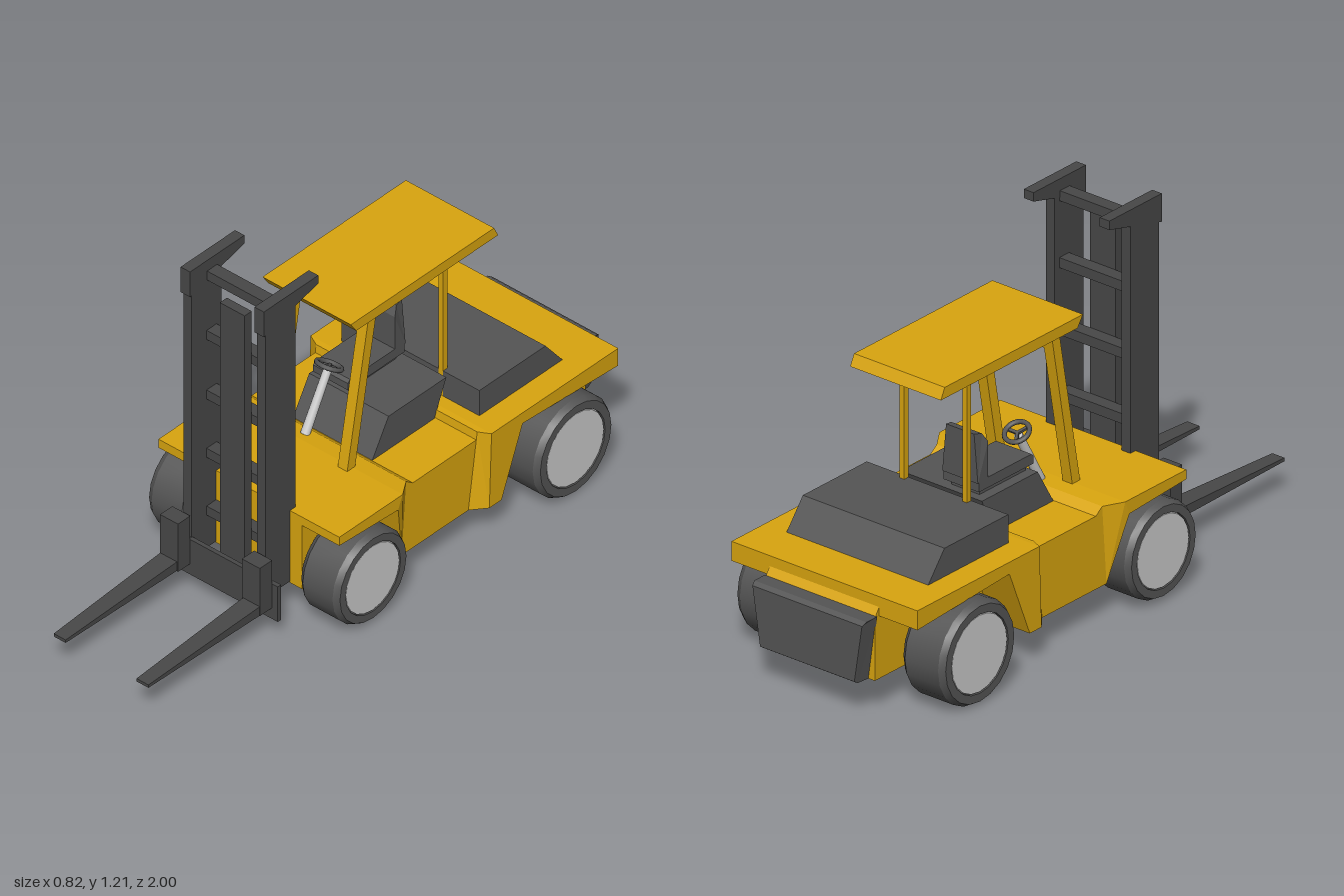
import * as THREE from 'three';
import { toCreasedNormals } from 'three/addons/utils/BufferGeometryUtils.js';

const mat = (color) => new THREE.MeshStandardMaterial({ color });
const yellow = mat(0xd9a50f), dark = mat(0x555555), mastGrey = mat(0x484848), light = mat(0xcccccc);

export function createModel() {
  const model = new THREE.Group();

  const add = (name, geometry, material) => {
    const mesh = new THREE.Mesh(geometry, material);
    mesh.name = name;
    model.add(mesh);
    return mesh;
  };

  // Box given by its extents on each axis
  const box = (name, material, [x0, x1], [y0, y1], [z0, z1]) => {
    const mesh = add(name, new THREE.BoxGeometry(x1 - x0, y1 - y0, z1 - z0), material);
    mesh.position.set((x0 + x1) / 2, (y0 + y1) / 2, (z0 + z1) / 2);
    return mesh;
  };

  // Side profile of [z, y, halfWidth] points spread across x; halfWidth may vary per point
  const slab = (name, material, profile, half, cx = 0) => {
    const shape = new THREE.Shape(profile.map(([z, y]) => new THREE.Vector2(-z, y)));
    const g = new THREE.ExtrudeGeometry(shape, { depth: 1, bevelEnabled: false });
    const p = g.attributes.position;
    for (let i = 0; i < p.count; i++) {
      const z = -p.getX(i), y = p.getY(i), side = p.getZ(i) > 0.5 ? 1 : -1;
      const point = profile.find((q) => Math.hypot(q[0] - z, q[1] - y) < 1e-4);
      p.setXYZ(i, cx + side * (point[2] ?? half), y, z);
    }
    g.computeVertexNormals();
    return add(name, g, material);
  };

  // Chassis core between the wheels
  slab('chassisCore', yellow, [[0.335, 0.12], [0.335, 0.385], [0, 0.38], [-0.04, 0.36], [-0.33, 0.36],
    [-0.36, 0.39], [-0.9, 0.39], [-0.94, 0.33], [-0.94, 0.12]], 0.215);

  // Front fenders, flare, cab floor, rear flare and rear deck
  slab('frontFenders', yellow, [[0.335, 0.36], [0.335, 0.392], [0.05, 0.392], [0.07, 0.345]], 0.365);
  slab('frontFlare', yellow, [[0.07, 0.345, 0.365], [0.05, 0.392, 0.365], [-0.01, 0.387, 0.325], [0.01, 0.12, 0.325]]);
  slab('cabFloor', yellow, [[0.01, 0.12], [-0.01, 0.387], [-0.04, 0.365], [-0.326, 0.365], [-0.29, 0.12]], 0.325);
  slab('rearFlare', yellow, [[-0.29, 0.12, 0.325], [-0.33, 0.393, 0.325], [-0.35, 0.395, 0.365], [-0.34, 0.12, 0.365]]);
  slab('rearDeck', yellow, [[-0.34, 0.12], [-0.35, 0.395], [-0.92, 0.395], [-0.92, 0.33], [-0.49, 0.355], [-0.395, 0.12]], 0.365);

  // Engine hood and rear counterweight
  slab('engineHood', dark, [[-0.392, 0.39], [-0.392, 0.49], [-0.69, 0.49], [-0.77, 0.39]], 0.278);
  slab('counterweight', dark, [[-0.935, 0.12, 0.19], [-0.935, 0.335, 0.22], [-0.985, 0.335, 0.22],
    [-1, 0.325, 0.215], [-1, 0.13, 0.185], [-0.985, 0.12, 0.185]]);

  // Wheels: lathed tyre, flat hub discs and axles
  const wheel = (name, x, z, radius, width, side) => {
    const group = new THREE.Group();
    group.name = name;
    const h = width / 2, rim = radius * 0.77;
    const profile = [[0, -h], [radius * 0.9, -h], [radius, -h + 0.02], [radius, h - 0.02], [radius * 0.93, h],
      [rim, h], [rim, h - 0.012], [0, h - 0.012]].map(([r, y]) => new THREE.Vector2(r, y));
    const tyre = new THREE.Mesh(toCreasedNormals(new THREE.LatheGeometry(profile, 20), 0.5), dark);
    tyre.name = 'tyre';
    const hub = new THREE.Mesh(new THREE.CylinderGeometry(rim * 0.97, rim, 0.012, 20), light);
    hub.name = 'hub';
    hub.position.y = h - 0.008;
    group.add(tyre, hub);
    group.rotation.z = -side * Math.PI / 2;
    group.position.set(side * x, 0.174, z);
    model.add(group);
  };
  for (const side of [1, -1]) {
    wheel('frontWheel', 0.305, 0.205, 0.161, 0.16, side);
    wheel('rearWheel', 0.324, -0.68, 0.172, 0.17, side);
  }
  for (const z of [0.205, -0.68]) {
    const axle = add('axle', new THREE.CylinderGeometry(0.04, 0.04, 0.54, 12), dark);
    axle.rotation.z = Math.PI / 2;
    axle.position.set(0, 0.174, z);
  }

  // Seat on its pedestal
  const seatX = -0.07;
  slab('seatPedestal', dark, [[-0.04, 0.362], [-0.115, 0.49], [-0.375, 0.49], [-0.32, 0.362]], 0.16);
  box('seatMount', dark, [seatX - 0.055, seatX + 0.055], [0.49, 0.512], [-0.345, -0.13]);
  slab('seatCushion', dark, [[-0.11, 0.51], [-0.11, 0.535], [-0.12, 0.545], [-0.365, 0.545], [-0.365, 0.51]], 0.07, seatX);
  slab('seatBack', dark, [[-0.322, 0.54, 0.07], [-0.322, 0.665, 0.07], [-0.34, 0.695, 0.06], [-0.37, 0.702, 0.055],
    [-0.37, 0.54, 0.07]], 0.07, seatX);

  // Steering column and wheel share one tilted axis
  const steering = new THREE.Group();
  steering.name = 'steering';
  const column = new THREE.Mesh(new THREE.CylinderGeometry(0.014, 0.016, 0.21, 10), light);
  column.name = 'steeringColumn';
  column.position.y = 0.095;
  const ring = new THREE.Mesh(new THREE.TorusGeometry(0.04, 0.008, 8, 20), dark);
  ring.name = 'steeringWheel';
  ring.rotation.x = Math.PI / 2;
  ring.position.y = 0.215;
  steering.add(column, ring);
  for (let i = 0; i < 3; i++) {
    const spoke = new THREE.Mesh(new THREE.BoxGeometry(0.04, 0.008, 0.01).translate(0.02, 0, 0), dark);
    spoke.name = 'steeringSpoke';
    spoke.rotation.y = i * Math.PI * 2 / 3;
    spoke.position.y = 0.21;
    steering.add(spoke);
  }
  steering.position.set(-0.06, 0.395, 0.01);
  steering.rotation.x = -0.5;
  model.add(steering);

  // Overhead guard
  slab('roof', yellow, [[0.075, 0.952], [-0.57, 0.952], [-0.588, 0.915], [0.05, 0.915]], 0.178);
  for (const side of [1, -1]) {
    slab('frontPost', yellow, [[0.078, 0.385], [0.042, 0.385], [-0.055, 0.92], [-0.02, 0.92]], 0.019, side * 0.146);
    box('rearPost', yellow, [side * 0.123 - 0.009, side * 0.123 + 0.009], [0.39, 0.92], [-0.412, -0.392]);
  }
  slab('frontCrossbar', yellow, [[-0.012, 0.87], [-0.02, 0.918], [-0.054, 0.918], [-0.046, 0.87]], 0.13);
  box('rearCrossbar', yellow, [-0.125, 0.125], [0.895, 0.918], [-0.412, -0.392]);

  // Mast: rails, top brackets, rungs and lift column
  for (const side of [1, -1]) {
    const x = side * 0.149;
    box('mastRail', mastGrey, [x - 0.017, x + 0.017], [0.125, 1.2], [0.31, 0.445]);
    slab('mastBracket', mastGrey, [[0.455, 1.115], [0.455, 1.21], [0.21, 1.21], [0.21, 1.18]], 0.019, x);
  }
  for (const y of [0.265, 0.483, 0.703, 0.928, 1.153]) {
    box('mastRung', mastGrey, [-0.135, 0.135], [y - 0.017, y + 0.017], [0.333, 0.378]);
  }
  box('liftColumn', mastGrey, [-0.05, 0.05], [0.12, 1.11], [0.378, 0.41]);

  // Carriage plate and forks
  box('carriagePlate', mastGrey, [-0.227, 0.225], [0.07, 0.202], [0.441, 0.456]);
  for (const side of [1, -1]) {
    box('forkShank', mastGrey, [side * 0.165 - 0.036, side * 0.165 + 0.036], [0.11, 0.29], [0.455, 0.51]);
    slab('forkTine', mastGrey, [[0.5, 0.112, 0.034], [0.5, 0.146, 0.034], [1, 0.123, 0.024], [1, 0.112, 0.024]].reverse(),
      0.03, side * 0.167);
  }

  return model;
}
